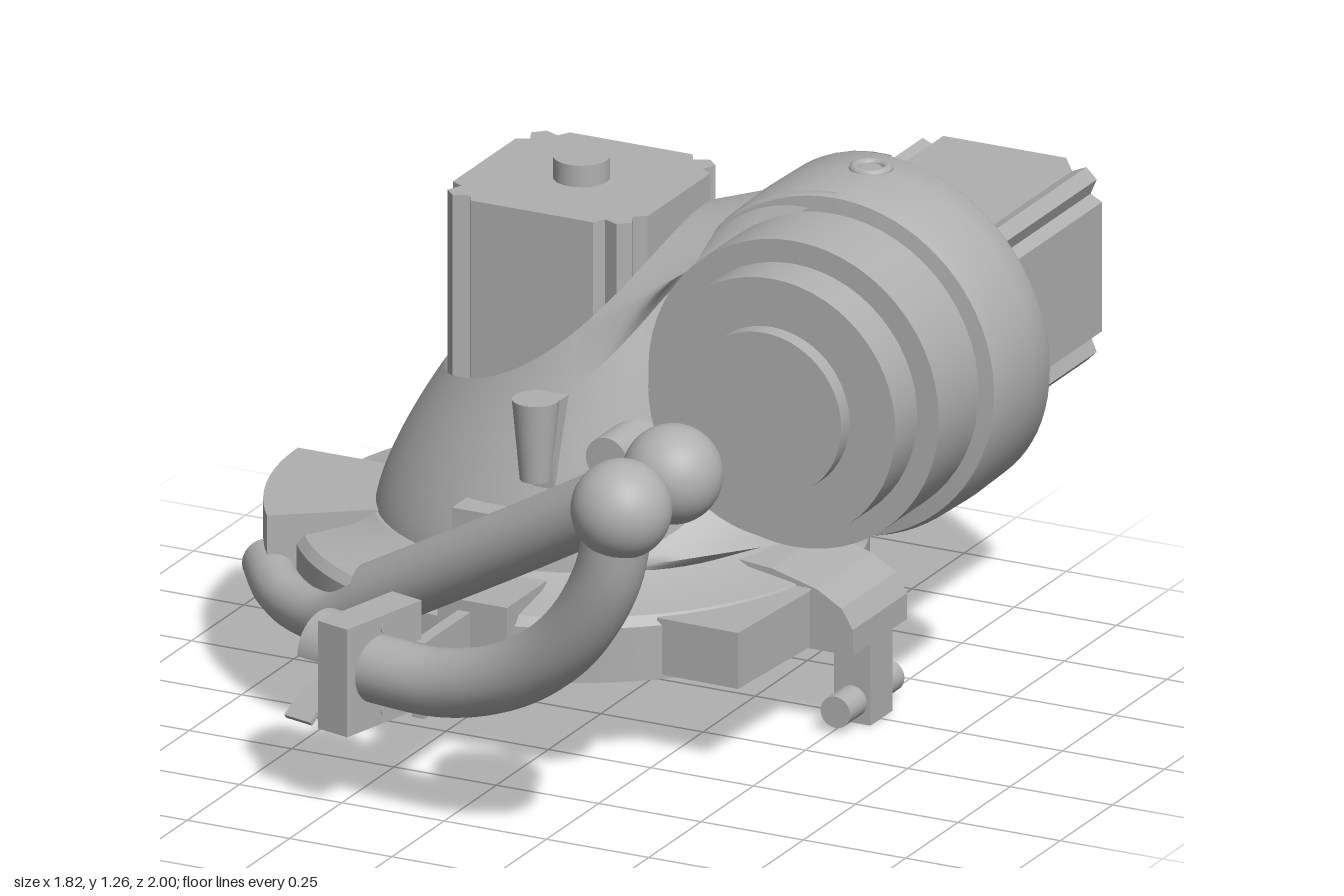
import * as THREE from 'three';
import { toCreasedNormals } from 'three/addons/utils/BufferGeometryUtils.js';

const CX = -0.178, CZ = -0.257;   // turntable axis
const RX = 0.502, RY = 0.848;     // shoulder axis

export function createModel() {
  const model = new THREE.Group();
  const grey = new THREE.MeshStandardMaterial({ color: 0xb0b0b0, side: THREE.DoubleSide });
  grey.name = 'machineGrey';

  function add(name, geo, x = 0, y = 0, z = 0, parent = model) {
    const m = new THREE.Mesh(geo, grey);
    m.name = name;
    m.position.set(x, y, z);
    parent.add(m);
    return m;
  }
  const box = (name, x0, x1, y0, y1, z0, z1) =>
    add(name, new THREE.BoxGeometry(x1 - x0, y1 - y0, z1 - z0), (x0 + x1) / 2, (y0 + y1) / 2, (z0 + z1) / 2);
  const cylY = (name, r, x, z, y0, y1, r0 = r) =>
    add(name, new THREE.CylinderGeometry(r, r0, y1 - y0, 40), x, (y0 + y1) / 2, z);
  const cylZ = (name, r, x, y, z0, z1) => {
    const m = add(name, new THREE.CylinderGeometry(r, r, z1 - z0, 56), x, y, (z0 + z1) / 2);
    m.rotation.x = Math.PI / 2;
    return m;
  };
  // surface from a rule f(u, v) -> [x, y, z]
  function grid(f, nu, nv, crease) {
    const pos = [], idx = [];
    for (let i = 0; i <= nu; i++) for (let j = 0; j <= nv; j++) pos.push(...f(i / nu, j / nv));
    for (let i = 0; i < nu; i++) for (let j = 0; j < nv; j++) {
      const a = i * (nv + 1) + j, b = a + nv + 1;
      idx.push(a, b, a + 1, b, b + 1, a + 1);
    }
    const g = new THREE.BufferGeometry();
    g.setAttribute('position', new THREE.Float32BufferAttribute(pos, 3));
    g.setIndex(idx);
    if (crease) return toCreasedNormals(g, crease);
    g.computeVertexNormals();
    return g;
  }
  const poly = pts => new THREE.Shape(pts.map(p => new THREE.Vector2(p[0], p[1])));
  const extrude = (shape, depth) => new THREE.ExtrudeGeometry(shape, { depth, bevelEnabled: false, curveSegments: 24 });
  // plan outline given as [x, z], raised from y0 to y1
  const plan = (name, pts, y0, y1) =>
    add(name, extrude(poly(pts.map(p => [p[0], -p[1]])), y1 - y0).rotateX(-Math.PI / 2), 0, y0, 0);

  // --- base disc with a recess underneath
  const profile = [[0, 0.3], [0.145, 0.3], [0.145, 0.19], [0.628, 0.19], [0.628, 0.315], [0.61, 0.335],
    [0.5, 0.355], [0.455, 0.38], [0, 0.38]].map(p => new THREE.Vector2(p[0], p[1]));
  add('baseDisc', toCreasedNormals(new THREE.LatheGeometry(profile, 80), 0.5), CX, 0, CZ);

  // raised block around the left front of the base
  const arc = [];
  for (let i = 0; i <= 12; i++) {
    const a = Math.PI - i / 12 * 0.63;
    arc.push([CX + 0.693 * Math.cos(a), CZ + 0.693 * Math.sin(a)]);
  }
  for (let i = 12; i >= 0; i--) {
    const a = Math.PI - i / 12 * 0.63;
    arc.push([CX + 0.44 * Math.cos(a), CZ + 0.44 * Math.sin(a)]);
  }
  plan('baseBlock', arc, 0.19, 0.385);

  // clips round the rim
  for (const x of [-0.365, 0.013]) {
    box('rearClip', x - 0.033, x + 0.033, 0.19, 0.335, -0.89, -0.8);
  }
  plan('sideTab', [[-0.91, -0.29], [-0.895, -0.41], [-0.78, -0.39], [-0.78, -0.257]], 0.19, 0.245);
  cylY('tabPin', 0.033, -0.855, -0.33, 0.17, 0.2);
  box('frontClip', -0.2, -0.03, 0.2, 0.37, 0.2, 0.39);
  box('frontClipFoot', -0.12, -0.025, 0.17, 0.25, 0.28, 0.385);

  // hooked bracket on the right of the base
  plan('bracketArm', [[0.2, 0.1], [0.24, 0.2], [0.44, 0.205], [0.46, -0.1], [0.4, -0.3], [0.2, -0.2]], 0.2, 0.33);
  const hook = poly([[0.2, 0.2], [0.2, 0.375], [0.36, 0.36], [0.47, 0.33], [0.53, 0.295], [0.557, 0.25], [0.557, 0.19], [0.45, 0.19]]);
  add('bracketHook', extrude(hook, 0.26), 0, 0, -0.375);
  box('bracketLeg', 0.468, 0.557, 0, 0.2, -0.305, -0.2);
  cylZ('bracketPin', 0.036, 0.512, 0.05, -0.38, -0.12);

  // --- bell housing: the wall from base to rim, then back down inside the bore
  const rimY = x => { const u = (x + 0.478) / 0.6; return 0.69 + 0.12 * u + 0.31 * u ** 3; };
  const bell = (a, t) => {
    const r = 0.45 - 0.15 * t ** 1.4, top = rimY(CX + 0.3 * Math.cos(a));
    return [CX + r * Math.cos(a), 0.37 + (top - 0.37) * t, CZ + r * Math.sin(a)];
  };
  add('bellHousing', grid((u, v) => bell(u * Math.PI * 2, v), 72, 16));
  add('bellBore', grid((u, v) => {
    const p = bell(u * Math.PI * 2, 1);
    return [p[0], p[1] + (0.5 - p[1]) * v, p[2]];
  }, 72, 2));
  cylY('boreFloor', 0.3, CX, CZ, 0.45, 0.5);

  // --- shoulder ring with a slanted rear mouth
  const mouthZ = a => -0.47 + 0.07 * Math.cos(a) + 0.05 * Math.sin(a);
  add('shoulderRing', grid((u, v) => {
    const a = u * Math.PI * 2, zb = mouthZ(a);
    const p = [[0.365, -0.16], [0.365, zb], [0.388, zb - 0.004], [0.4, zb + 0.02], [0.404, -0.3], [0.4, -0.17], [0.39, -0.135], [0.35, -0.13]][Math.round(v * 7)];
    return [RX + p[0] * Math.cos(a), RY + p[0] * Math.sin(a), p[1]];
  }, 80, 7, 0.7));

  // --- neck: a closed loop on the bell swept to the left half of the ring
  const A = 1.13;
  const ringPoint = (a, z) => [RX + 0.398 * Math.cos(a), RY + 0.398 * Math.sin(a), z];
  const lerp = (a, b, t) => a + (b - a) * t;
  function neckPoint(u, s) {
    const k = Math.min(3, Math.floor(u * 4)), t = u * 4 - k, h = Math.PI / 2;
    let p, q;
    if (k === 0) { p = bell(lerp(A, -A, t), 1); q = ringPoint(h, lerp(-0.15, mouthZ(h) + 0.01, t)); }
    else if (k === 1) { const a = h + t * Math.PI; p = bell(-A, 1 - t); q = ringPoint(a, mouthZ(a) + 0.01); }
    else if (k === 2) { p = bell(lerp(-A, A, t), 0); q = ringPoint(3 * h, lerp(mouthZ(3 * h) + 0.01, -0.15, t)); }
    else { p = bell(A, t); q = ringPoint(3 * h - t * Math.PI, -0.15); }
    return p.map((c, i) => lerp(c, q[i], s));
  }
  add('neck', grid(neckPoint, 96, 14, 0.9));

  // --- stepped gearbox in front of the ring
  cylZ('gearboxBody', 0.355, RX, RY, -0.2, 0.06);
  cylZ('gearboxStep', 0.302, RX, RY, 0.06, 0.165);
  cylZ('gearboxCap', 0.19, RX, RY, 0.165, 0.205);

  // --- two motors with grooved corners
  const corner = [[0.238, 0.15], [0.21, 0.165], [0.225, 0.2], [0.2, 0.225], [0.165, 0.21], [0.15, 0.238]];
  const outline = [];
  for (let q = 0; q < 4; q++) {
    const c = Math.round(Math.cos(q * Math.PI / 2)), s = Math.round(Math.sin(q * Math.PI / 2));
    for (const [x, y] of corner) outline.push([x * c - y * s, x * s + y * c]);
  }
  function motor(name, length) {
    const g = new THREE.Group();
    g.name = name;
    add('motorBody', extrude(poly(outline), length), 0, 0, 0, g);
    const shaft = add('motorBoss', new THREE.CylinderGeometry(0.062, 0.062, 0.06, 32), 0, 0, length + 0.02, g);
    shaft.rotation.x = Math.PI / 2;
    model.add(g);
    return g;
  }
  const upright = motor('uprightMotor', 0.63);
  upright.rotation.x = -Math.PI / 2;
  upright.position.set(CX, 0.5, CZ);
  const rear = motor('rearMotor', 0.75);
  rear.rotation.y = Math.PI;
  rear.position.set(RX, RY, -0.2);

  // --- small bosses on the housing
  cylY('frontBoss', 0.052, -0.085, 0.145, 0.58, 0.765, 0.035);
  box('frontBossWeb', -0.125, -0.045, 0.56, 0.755, 0.02, 0.14);
  cylZ('roundBoss', 0.05, 0.09, 0.655, -0.05, 0.15);
  box('frontPlate', -0.25, -0.1, 0.38, 0.51, 0.14, 0.222);
  const eye = add('oilerRing', new THREE.TorusGeometry(0.037, 0.012, 10, 28), RX, 1.248, -0.31);
  eye.rotation.x = Math.PI / 2;

  // --- hoses ending in balls
  function hose(name, pts, r) {
    const path = new THREE.CatmullRomCurve3(pts.map(p => new THREE.Vector3(...p)));
    add(name, new THREE.TubeGeometry(path, 48, r, 24), 0, 0, 0);
    for (const e of [0, 1]) { // flat end caps
      const cap = add(name + 'End', new THREE.CircleGeometry(r, 24));
      cap.position.copy(path.getPoint(e));
      cap.lookAt(path.getPoint(e).add(path.getTangent(e).multiplyScalar(e ? 1 : -1)));
    }
  }
  hose('thinHose', [[-0.78, 0.245, 0.07], [-0.69, 0.238, 0.19], [-0.58, 0.24, 0.29], [-0.46, 0.27, 0.37], [-0.32, 0.36, 0.425]], 0.055);
  hose('straightHandle', [[-0.33, 0.36, 0.425], [0.09, 0.605, 0.535], [RX, 0.855, 0.64]], 0.076);
  hose('curvedHandle', [[-0.2, 0.315, 0.72], [0, 0.325, 0.76], [0.19, 0.39, 0.805], [0.35, 0.51, 0.845], [0.46, 0.68, 0.875], [RX, 0.855, 0.885]], 0.076);
  for (const z of [0.64, 0.885]) add('handleBall', new THREE.SphereGeometry(0.111, 40, 28), RX, 0.855, z);

  // --- hose clamp: block, open ring and flange
  const clamp = new THREE.Group();
  clamp.name = 'hoseClamp';
  clamp.position.set(-0.21, 0.31, 0.695);
  clamp.rotation.y = -0.25;
  model.add(clamp);
  add('clampBlock', new THREE.BoxGeometry(0.085, 0.25, 0.245), 0, 0, 0, clamp);
  const ring = add('clampRing', new THREE.CylinderGeometry(0.085, 0.085, 0.075, 32, 1, true, 0, 5), -0.115, 0, -0.02, clamp);
  ring.rotation.z = Math.PI / 2;
  for (const z of [0.03, 0.07]) {
    const flange = add('clampFlange', new THREE.BoxGeometry(0.075, 0.012, 0.09), -0.115, -0.1, z, clamp);
    flange.rotation.x = 0.7;
  }
  for (const y of [-0.095, 0.095]) {
    const bolt = add('clampBolt', new THREE.CylinderGeometry(0.012, 0.012, 0.09, 12), 0, y, 0, clamp);
    bolt.rotation.z = Math.PI / 2;
  }
  box('clampStay', -0.15, -0.12, 0.17, 0.345, 0.38, 0.61);

  return model;
}
